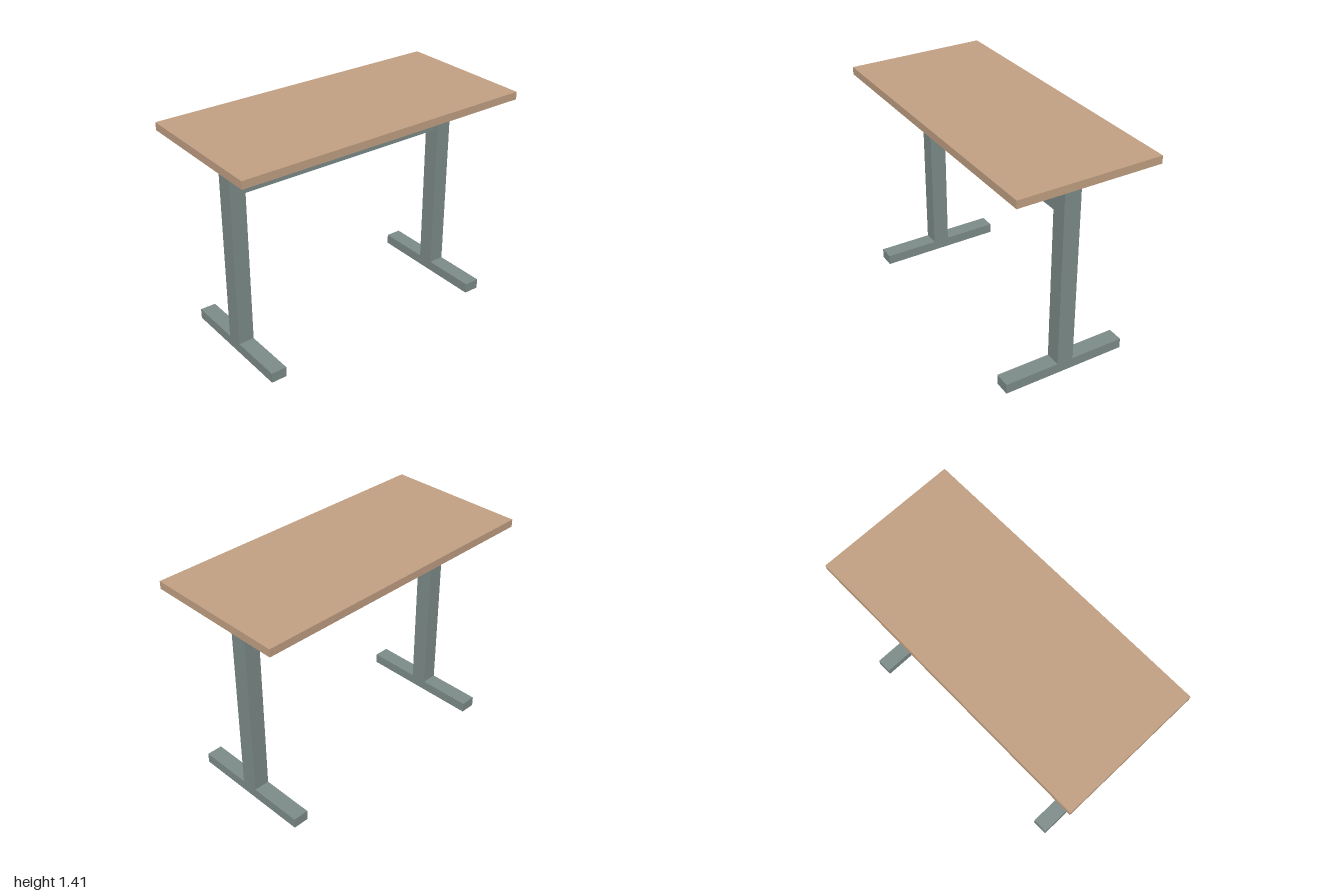
import * as THREE from 'three';

export function createModel() {
  const desk = new THREE.Group();
  desk.name = 'desk';

  const paint = (name, color) => {
    const m = new THREE.MeshStandardMaterial({ color });
    m.name = name;
    return m;
  };
  const wood = paint('light wood', 0xc4a284);
  const steel = paint('grey green steel', 0x7f8e8b);
  const plastic = paint('pale grey plastic', 0xc2cbcd);
  const amber = paint('tan button', 0xd8ac84);

  // Box given by its lower and upper limits on each axis
  const box = (name, material, [x0, x1], [y0, y1], [z0, z1], parent = desk) => {
    const mesh = new THREE.Mesh(new THREE.BoxGeometry(x1 - x0, y1 - y0, z1 - z0), material);
    mesh.position.set((x0 + x1) / 2, (y0 + y1) / 2, (z0 + z1) / 2);
    mesh.name = name;
    parent.add(mesh);
    return mesh;
  };

  // Worktop
  box('worktop', wood, [-1, 1], [1.363, 1.413], [-0.467, 0.467]);

  // Foot, column and mounting plate on each side
  for (const [name, side] of [['rightLeg', -1], ['leftLeg', 1]]) {
    const leg = new THREE.Group();
    leg.name = name;
    leg.position.x = side * 0.787;
    box('foot', steel, [-0.052, 0.052], [0, 0.067], [-0.415, 0.415], leg);
    box('column', steel, [-0.052, 0.052], [0.067, 1.335], [-0.055, 0.055], leg);
    box('mountingPlate', steel, [-0.066, 0.066], [1.335, 1.363], [-0.333, 0.333], leg);
    desk.add(leg);
  }

  // Beam joining the columns
  box('crossbar', steel, [-0.735, 0.735], [1.07, 1.15], [-0.027, 0.027]);

  // Height control under the front edge, with a button on its face
  box('controlBox', plastic, [0.465, 0.725], [1.335, 1.363], [0.335, 0.417]);
  box('controlButton', amber, [0.515, 0.568], [1.336, 1.362], [0.417, 0.42]);

  return desk;
}
